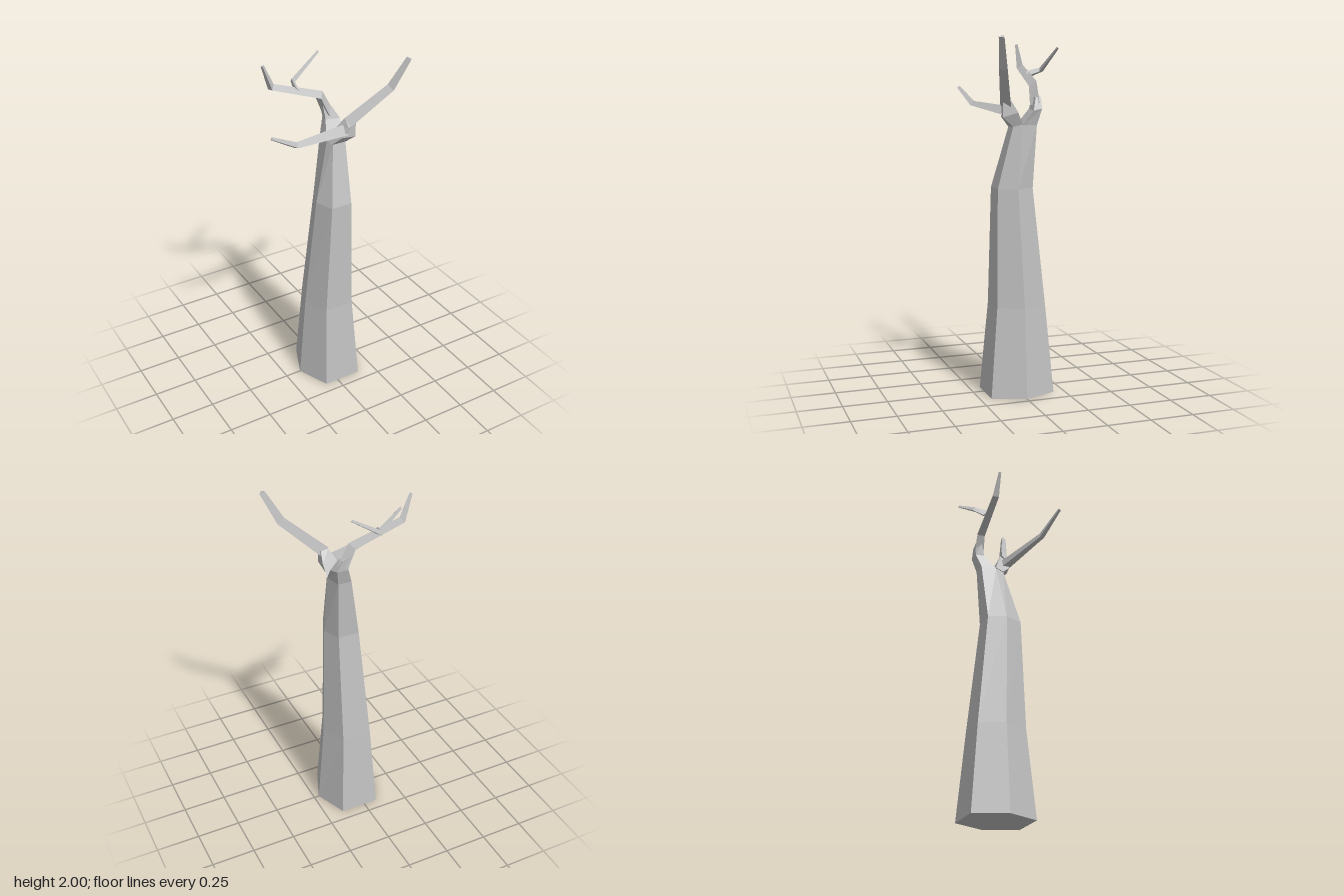
import * as THREE from 'three';

const V = (p) => new THREE.Vector3(...p);

// Skins a closed solid over rings (each counter-clockwise about the growth direction)
function loft(rings) {
  const pos = [];
  const tri = (...pts) => pts.forEach((p) => pos.push(p.x, p.y, p.z));
  const n = rings[0].length;
  for (let k = 0; k < rings.length - 1; k++) {
    for (let i = 0; i < n; i++) {
      const j = (i + 1) % n, a = rings[k], b = rings[k + 1];
      tri(a[i], a[j], b[j]);
      tri(a[i], b[j], b[i]);
    }
  }
  const first = rings[0], last = rings[rings.length - 1];
  for (let i = 1; i < n - 1; i++) {
    tri(first[0], first[i + 1], first[i]);
    tri(last[0], last[i], last[i + 1]);
  }
  const geo = new THREE.BufferGeometry();
  geo.setAttribute('position', new THREE.Float32BufferAttribute(pos, 3));
  geo.computeVertexNormals();
  return geo;
}

// Three-sided tapering limb; stations are [x, y, z, radius]
function limb(stations, roll) {
  const pts = stations.map((s) => V(s.slice(0, 3)));
  const chord = pts[pts.length - 1].clone().sub(pts[0]).setY(0).normalize();
  const side = chord.cross(new THREE.Vector3(0, 1, 0));
  return loft(pts.map((p, k) => {
    const prev = pts[Math.max(k - 1, 0)], next = pts[Math.min(k + 1, pts.length - 1)];
    const t = p.clone().sub(prev).normalize().add(next.clone().sub(p).normalize()).normalize();
    const up = side.clone().cross(t).normalize();
    return [0, 1, 2].map((i) => {
      const a = -Math.PI / 2 + roll + (i * 2 * Math.PI) / 3, r = stations[k][3];
      return p.clone().addScaledVector(side, Math.cos(a) * r).addScaledVector(up, -Math.sin(a) * r);
    });
  }));
}

// Six-sided trunk ring: outer x, inner x, middle z and front/back z
const hex = (y, xl, xfl, xfr, xr, zm, zf, zb) => [
  [xr, y, zm], [xfr, y, zb], [xfl, y, zb], [xl, y, zm], [xfl, y, zf], [xfr, y, zf],
].map(V);

export function createModel() {
  const group = new THREE.Group();
  const bark = new THREE.MeshStandardMaterial({ color: 0xc0c0c0 });
  bark.name = 'bark grey';
  bark.flatShading = true;
  const add = (name, geo) => {
    const mesh = new THREE.Mesh(geo, bark);
    mesh.name = name;
    group.add(mesh);
  };

  add('trunk', loft([
    hex(0, -0.157, -0.08, 0.145, 0.22, 0, 0.187, -0.187),
    hex(0.51, -0.115, -0.055, 0.118, 0.178, 0, 0.143, -0.143),
    hex(1.18, -0.055, -0.015, 0.108, 0.15, 0.03, 0.135, -0.07),
    hex(1.53, 0.03, 0.04, 0.118, 0.14, 0.0, 0.047, -0.09),
  ]));

  // The trunk splits into two short forks
  add('backFork', loft([
    [[0.14, 1.53, 0], [0.118, 1.53, -0.09], [0.04, 1.53, -0.09], [0.03, 1.53, 0]],
    [[0.15, 1.61, -0.06], [0.135, 1.62, -0.115], [0.07, 1.62, -0.115], [0.06, 1.62, -0.065]],
    [[0.11, 1.68, -0.085], [0.105, 1.68, -0.118], [0.055, 1.7, -0.118], [0.055, 1.7, -0.085]],
  ].map((r) => r.map(V))));
  add('frontFork', loft([
    [[0.118, 1.52, 0.047], [0.14, 1.535, 0], [0.03, 1.535, 0], [0.03, 1.52, 0.047]],
    [[0.14, 1.575, 0.115], [0.15, 1.6, 0.03], [0.07, 1.61, 0.03], [0.065, 1.575, 0.1]],
    [[0.14, 1.655, 0.115], [0.145, 1.66, 0.065], [0.105, 1.67, 0.06], [0.1, 1.63, 0.11]],
  ].map((r) => r.map(V))));

  // Bare limbs
  add('backBranch', limb([
    [0.095, 1.64, -0.095, 0.035], [0.045, 1.75, -0.1, 0.03],
    [-0.235, 1.848, -0.122, 0.024], [-0.287, 1.982, -0.115, 0.01],
  ], 0.25));
  add('backTwig', limb([
    [-0.09, 1.808, -0.115, 0.024], [-0.075, 1.832, -0.185, 0.016], [0.102, 1.953, -0.218, 0.008],
  ], 0));
  add('frontRightBranch', limb([
    [0.11, 1.597, 0.07, 0.038], [-0.25, 1.638, 0.165, 0.02], [-0.412, 1.735, 0.205, 0.01],
  ], 0.25));
  add('frontLeftBranch', limb([
    [0.115, 1.645, 0.085, 0.036], [0.325, 1.835, 0.17, 0.028], [0.405, 1.995, 0.208, 0.018],
  ], -0.25));
  return group;
}
